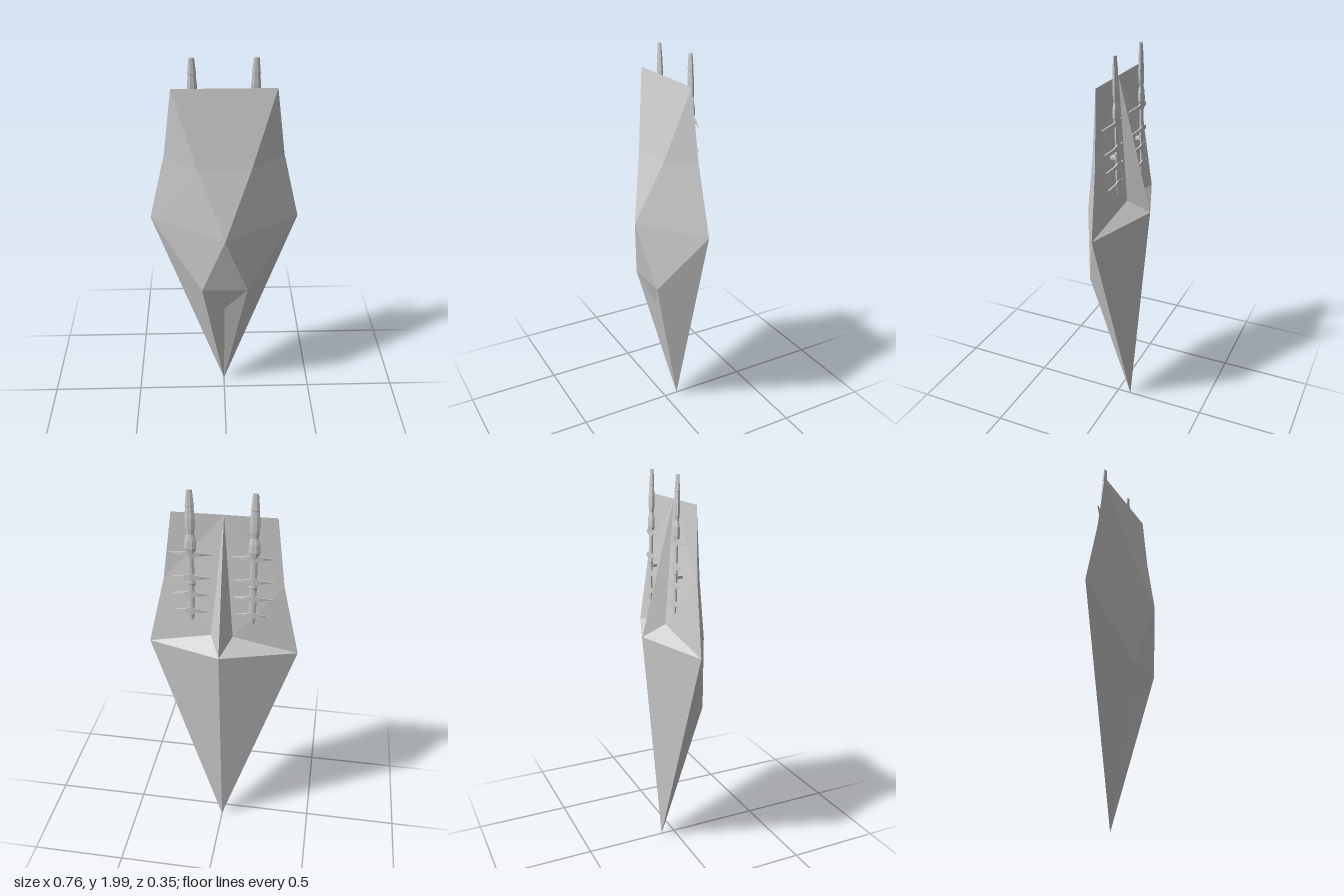
import * as THREE from 'three';

const grey = new THREE.MeshStandardMaterial({ color: 0xcccccc, flatShading: true, side: THREE.DoubleSide });

function add(parent, name, geometry) {
  const mesh = new THREE.Mesh(geometry, grey);
  mesh.name = name;
  parent.add(mesh);
  return mesh;
}

// Faceted hull: one half is listed, the other half mirrors it
function hullGeometry() {
  const p = {
    corner: [0.25, 1.87, 0], shoulder: [0.295, 1.53, -0.015], side: [0.38, 1.17, -0.032],
    brow: [0.13, 1.49, 0.08], nose: [0, 1.14, 0.175], chin: [0.12, 0.8, 0.112],
    keel: [0, 0.64, 0.058], tip: [0, 0.005, -0.076],
    crest: [0, 1.87, 0], hollow: [0.055, 1.26, -0.072], spine: [0, 1.19, -0.175],
    browMid: [0, 1.49, 0.08], chinMid: [0, 0.8, 0.112],
  };
  const faces = [
    // front
    'crest browMid corner', 'browMid brow corner', 'browMid nose brow',
    'corner brow shoulder', 'brow side shoulder', 'brow nose side',
    'nose chin side', 'nose chinMid chin', 'chinMid keel chin', 'chin keel tip', 'chin tip side',
    // back
    'crest corner shoulder', 'crest shoulder hollow', 'hollow shoulder side',
    'hollow side spine', 'crest hollow spine', 'spine side tip',
  ];
  const pos = [];
  for (const face of faces) {
    const tri = face.split(' ').map((k) => p[k]);
    tri.forEach((v) => pos.push(...v));
    tri.reverse().forEach(([x, y, z]) => pos.push(-x, y, z));
  }
  const g = new THREE.BufferGeometry();
  g.setAttribute('position', new THREE.Float32BufferAttribute(pos, 3));
  g.computeVertexNormals();
  return g;
}

// Thin tapering claw that curves toward the hull
function clawGeometry(length) {
  const s = new THREE.Shape();
  s.moveTo(0, 0.022);
  s.lineTo(length * 0.4, 0.008);
  s.lineTo(length, -0.008);
  s.lineTo(length * 0.4, -0.008);
  s.lineTo(0, -0.018);
  const g = new THREE.ExtrudeGeometry(s, { depth: 0.007, bevelEnabled: false });
  const a = g.attributes.position;
  for (let i = 0; i < a.count; i++) a.setZ(i, a.getZ(i) - 0.01 + 2.6 * a.getX(i) ** 2);
  g.computeVertexNormals();
  return g;
}

// Segmented mast with claws on both sides
function createMast() {
  const mast = new THREE.Group();
  const profile = [
    [0, 0], [0.01, 0], [0.018, 0.04], [0.018, 0.19], [0.022, 0.2], [0.018, 0.22], [0.018, 0.34],
    [0.03, 0.38], [0.028, 0.42], [0.019, 0.45], [0.025, 0.48], [0.025, 0.53],
    [0.02, 0.58], [0.022, 0.585], [0.014, 0.66], [0, 0.66],
  ].map(([r, y]) => new THREE.Vector2(r, y));
  add(mast, 'mastBody', new THREE.LatheGeometry(profile, 8, Math.PI / 8).scale(1, 1, 0.5));
  [[0.05, 0.085], [0.14, 0.095], [0.23, 0.1], [0.35, 0.11]].forEach(([y, length]) => {
    for (const side of [1, -1]) {
      const claw = add(mast, 'claw', clawGeometry(length));
      claw.position.set(0, y, 0);
      claw.scale.x = side;
    }
  });
  // bracket that ties the mast to the hull
  add(mast, 'bracket', new THREE.BoxGeometry(0.03, 0.014, 0.05)).position.set(0, 0.18, 0.02);
  return mast;
}

export function createModel() {
  const model = new THREE.Group();
  model.name = 'facetedShip';
  add(model, 'hull', hullGeometry());
  for (const side of [1, -1]) {
    const mast = createMast();
    mast.name = side > 0 ? 'leftMast' : 'rightMast';
    mast.position.set(side * 0.15, 1.34, -0.066);
    mast.rotation.x = 0.025;
    model.add(mast);
  }
  return model;
}
